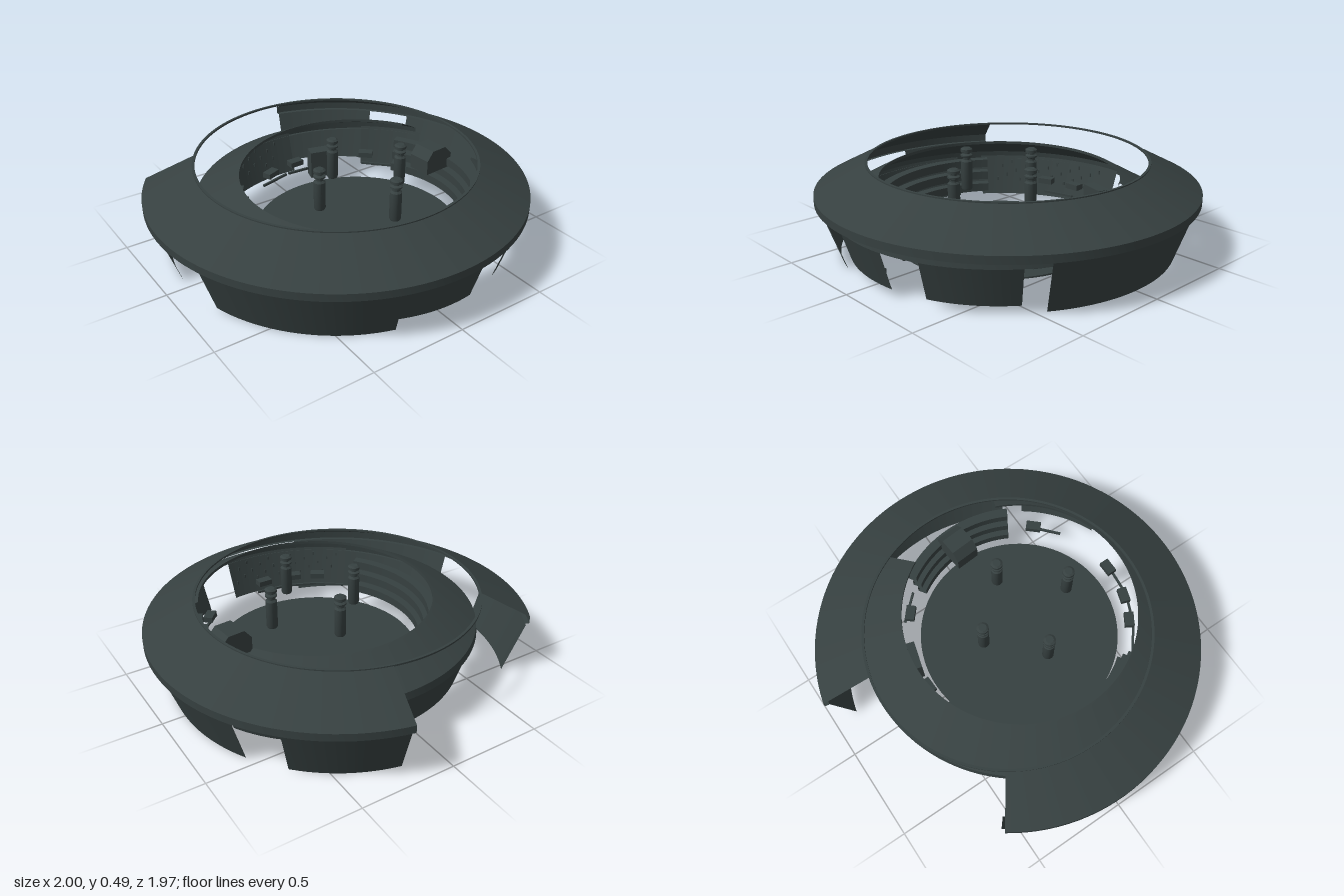
import * as THREE from 'three';
import { toCreasedNormals } from 'three/addons/utils/BufferGeometryUtils.js';

export function createModel() {
  const model = new THREE.Group();
  const metal = new THREE.MeshStandardMaterial({ color: 0x364040, side: THREE.DoubleSide });
  metal.name = 'dark grey green metal';

  const add = (parent, name, geometry, x = 0, y = 0, z = 0) => {
    const mesh = new THREE.Mesh(geometry, metal);
    mesh.name = name;
    mesh.position.set(x, y, z);
    parent.add(mesh);
    return mesh;
  };

  // Sweeps a [radius, height] profile around y between two angles (0 = +x, 90 = +z)
  const sector = (parent, name, profile, from = 0, to = 360) => {
    const points = profile.map(([r, y]) => new THREE.Vector2(r, y));
    const steps = Math.max(4, Math.ceil((to - from) / 3));
    const geometry = new THREE.LatheGeometry(points, steps,
      THREE.MathUtils.degToRad(90 - to), THREE.MathUtils.degToRad(to - from));
    return add(parent, name, toCreasedNormals(geometry, 0.4));
  };

  const makeRing = (name, x, z) => {
    const ring = new THREE.Group();
    ring.name = name;
    ring.position.set(x, 0, z);
    model.add(ring);
    return ring;
  };

  // Outer ring: broken sloping roof, complete top hoop, separate skirt panels
  const outer = makeRing('outerRing', 0, -0.015);
  sector(outer, 'outerRoof',
    [[0.975, 0.28], [0.998, 0.28], [0.998, 0.32], [0.735, 0.455]], -77.3, 215);
  sector(outer, 'topHoop',
    [[0.722, 0.452], [0.735, 0.452], [0.735, 0.461], [0.722, 0.461], [0.722, 0.452]]);
  for (const [from, to] of [[-77, -43], [-29, 32], [106.5, 164], [183, 216]]) {
    sector(outer, 'outerSkirtPanel', [[0.88, 0], [0.978, 0.28]], from, to);
  }

  // Inner ring, set off centre inside the outer one
  const inner = makeRing('innerRing', 0.06, 0.1);
  sector(inner, 'innerRoof',
    [[0.83, 0.245], [0.845, 0.245], [0.84, 0.285], [0.62, 0.405], [0.608, 0.41], [0.608, 0.395]],
    22, 330);
  const innerPanels = [[-53, -28], [35.5, 67.5], [82, 134], [165, 205], [215, 276]];
  for (const [from, to] of innerPanels) {
    sector(inner, 'innerSkirtPanel', [[0.77, 0.04], [0.838, 0.26]], from, to);
  }

  // Arena floor
  const disc = new THREE.CylinderGeometry(0.543, 0.543, 0.008, 72);
  add(inner, 'floor', disc, 0, 0.065, 0);

  // Terraced galleries on both flanks
  for (const [from, to] of [[143, 216], [-34, 28]]) {
    for (let i = 0; i < 3; i++) {
      const r = 0.55 + i * 0.022, y = 0.13 + i * 0.065;
      sector(inner, 'gallery',
        [[r, y], [r, y + 0.045], [r + 0.05, y + 0.045], [r + 0.05, y], [r, y]], from, to);
    }
  }

  // Pieces spread around the arena, facing its middle
  const place = (name, geometry, angle, r, y) => {
    const a = THREE.MathUtils.degToRad(angle);
    const mesh = add(inner, name, geometry, r * Math.cos(a), y, r * Math.sin(a));
    mesh.rotation.y = -a;
    return mesh;
  };

  // Brackets and thin rails around the floor
  const bracket = new THREE.BoxGeometry(0.05, 0.03, 0.08);
  const rail = new THREE.BoxGeometry(0.012, 0.012, 0.18);
  for (const angle of [-110, -92, -50, 42, 90, 108, 122]) {
    place('bracket', bracket, angle, 0.59, 0.2);
    place('rail', rail, angle + 6, 0.62, 0.12);
  }
  place('wallBlock', new THREE.BoxGeometry(0.07, 0.16, 0.15), -75, 0.6, 0.16);

  // Small slots on the inside of the long panels
  const slot = new THREE.BoxGeometry(0.006, 0.02, 0.008);
  for (const start of [84, 222]) {
    for (let i = 0; i < 24; i++) {
      const y = 0.13 + 0.025 * ((i * 3) % 5);
      place('wallSlot', slot, start + i * 2, 0.752 + (y - 0.04) * 0.31, y);
    }
  }

  // Control cabin with a sloping roof on the left flank
  const cabinShape = new THREE.Shape([[-0.09, 0], [0.09, 0], [0.09, 0.08], [0.04, 0.13],
    [-0.05, 0.13], [-0.09, 0.08]].map(([x, y]) => new THREE.Vector2(x, y)));
  const cabin = new THREE.ExtrudeGeometry(cabinShape, { depth: 0.13, bevelEnabled: false });
  cabin.translate(0, 0, -0.065);
  place('cabin', cabin, -5, 0.53, 0.25);

  // Four hanging posts with knobbed tops
  const postProfile = [[0, 0.265], [0.026, 0.265], [0.03, 0.275], [0.03, 0.42], [0.02, 0.43],
    [0.02, 0.44], [0.031, 0.447], [0.031, 0.455], [0.018, 0.461], [0.018, 0.467],
    [0.031, 0.472], [0.031, 0.486], [0.02, 0.493], [0, 0.493]]
    .map(([r, y]) => new THREE.Vector2(r, y));
  const post = toCreasedNormals(new THREE.LatheGeometry(postProfile, 20), 0.5);
  for (const [x, z] of [[0.055, -0.13], [-0.185, 0.11], [0.31, 0.125], [0.065, 0.405]]) {
    add(model, 'post', post, x, 0, z);
  }

  return model;
}
